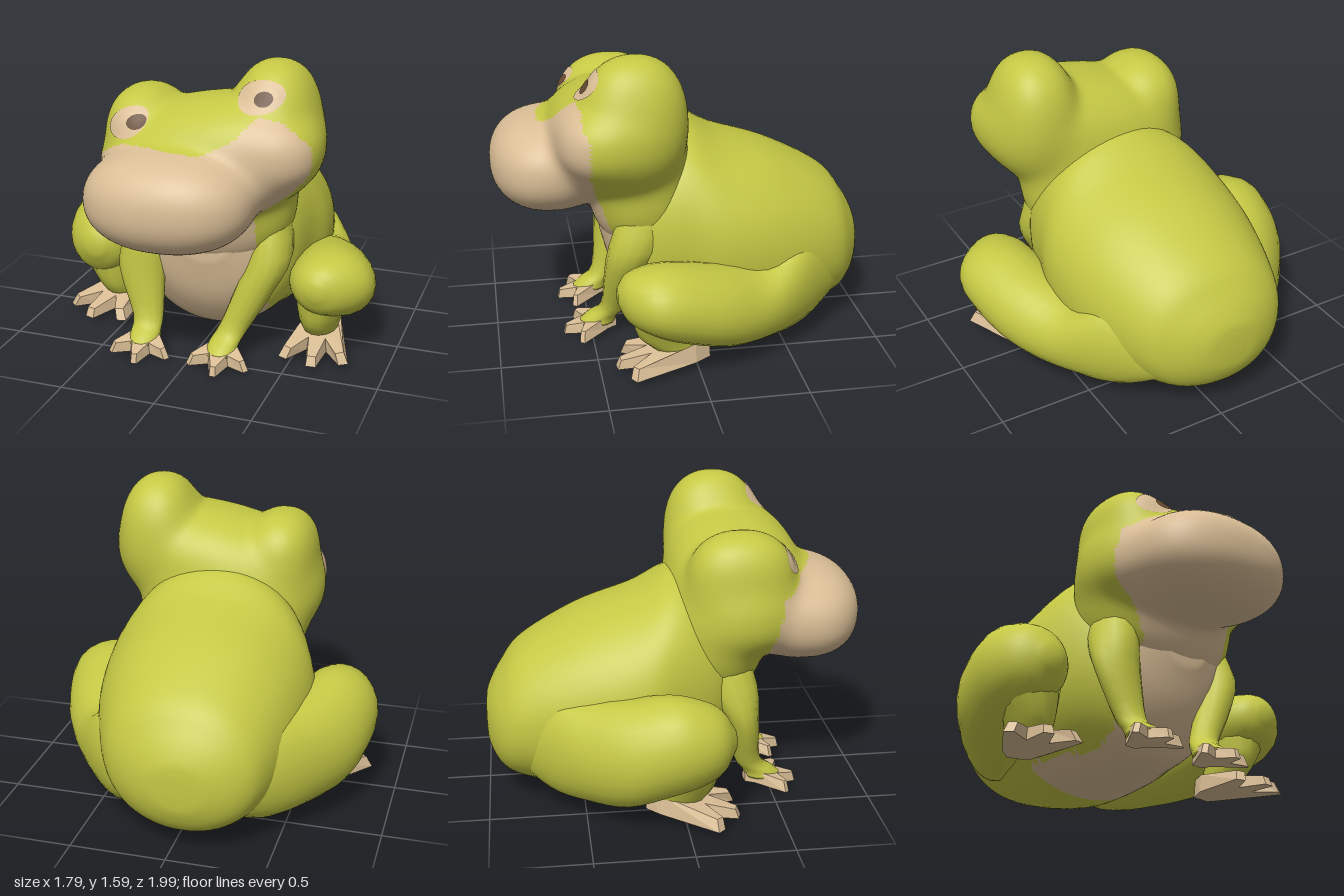
import * as THREE from 'three';
import { mergeVertices } from 'three/addons/utils/BufferGeometryUtils.js';

const mat = (name, color) => Object.assign(new THREE.MeshStandardMaterial({ color }), { name });
const green = mat('skinGreen', 0xc5c844);
const tan = mat('bellyTan', 0xdabe96);
const brown = mat('pupilBrown', 0x664b30);

function mesh(name, geo, material) {
  const m = new THREE.Mesh(geo, material);
  m.name = name;
  return m;
}

// Sorts triangles into green and tan groups by the position of their centre
function paint(geo, isTan) {
  const idx = geo.index.array, p = geo.attributes.position, sets = [[], []];
  const c = new THREE.Vector3(), v = new THREE.Vector3();
  for (let i = 0; i < idx.length; i += 3) {
    c.set(0, 0, 0);
    for (let k = 0; k < 3; k++) c.add(v.fromBufferAttribute(p, idx[i + k]));
    c.divideScalar(3);
    sets[isTan(c) ? 1 : 0].push(idx[i], idx[i + 1], idx[i + 2]);
  }
  geo.setIndex([...sets[0], ...sets[1]]);
  geo.addGroup(0, sets[0].length, 0);
  geo.addGroup(sets[0].length, sets[1].length, 1);
  return geo;
}

// Elliptical rings [x, y, z, ra, rb], smoothed between; upright rings lie in xz, others in xy
function loft(rings, { upright = false, sides = 16, sub = 3, power = 1 } = {}) {
  const curve = (f) => new THREE.CatmullRomCurve3(rings.map(f), false, 'catmullrom');
  const mid = curve((r) => new THREE.Vector3(r[0], r[1], r[2]));
  const rad = curve((r) => new THREE.Vector3(r[3], r[4], 0));
  const pos = [], idx = [], steps = (rings.length - 1) * sub;
  const pw = (a) => Math.sign(a) * Math.abs(a) ** power;
  for (let i = 0; i <= steps; i++) {
    const c = mid.getPoint(i / steps), r = rad.getPoint(i / steps);
    for (let j = 0; j < sides; j++) {
      const a = (j / sides) * Math.PI * 2;
      const u = pw(Math.cos(a)) * r.x, w = pw(Math.sin(a)) * r.y;
      if (upright) pos.push(c.x + u, c.y, c.z - w);
      else pos.push(c.x + u, c.y + w, c.z);
    }
  }
  const last = steps * sides, c0 = last + sides, c1 = c0 + 1;
  pos.push(...mid.getPoint(0).toArray(), ...mid.getPoint(1).toArray());
  for (let j = 0; j < sides; j++) {
    const n = (j + 1) % sides;
    for (let i = 0; i < steps; i++) {
      const a = i * sides, b = a + sides;
      idx.push(a + j, a + n, b + j, a + n, b + n, b + j);
    }
    idx.push(c0, n, j, c1, last + j, last + n);
  }
  const geo = new THREE.BufferGeometry();
  geo.setAttribute('position', new THREE.Float32BufferAttribute(pos, 3));
  geo.setIndex(idx);
  geo.computeVertexNormals();
  return geo;
}

// Head masses: centre, radii, sideways tilt
const masses = [
  [0.07, 1.1, 0.35, 0.58, 0.32, 0.365, 0.16], // skull
  [0.39, 1.285, 0.28, 0.215, 0.315, 0.26, 0], // left brow
  [-0.28, 1.2, 0.33, 0.19, 0.235, 0.265, 0], // right brow
  [-0.03, 0.96, 0.68, 0.43, 0.255, 0.315, 0.02], // muzzle
  [0.41, 1.18, 0.45, 0.23, 0.17, 0.2, 0], // left cheek
  [0.02, 0.86, 0.22, 0.46, 0.38, 0.28, 0], // neck
];
const inside = (p) => masses.reduce((sum, [x, y, z, rx, ry, rz, tilt]) => {
  const dx = p.x - x, dy = p.y - y - tilt * dx;
  const d = [dx / rx, dy / ry, (p.z - z) / rz].reduce((s, a) => s + Math.abs(a) ** 2.25, 0);
  return sum + Math.exp(-12 * (d ** (1 / 2.25) - 1));
}, 0) >= 1;

// Outermost point of the head skin along a ray
function skinPoint(origin, dir, far) {
  const at = (t) => origin.clone().addScaledVector(dir, t);
  let t = far;
  while (t > 0 && !inside(at(t))) t -= 0.01;
  let lo = t, hi = t + 0.01;
  for (let i = 0; i < 8; i++) {
    const m = (lo + hi) / 2;
    if (inside(at(m))) lo = m; else hi = m;
  }
  return at(lo);
}

// Upper edge of the tan face, as height over x
const lip = [[-0.6, 1.06], [-0.42, 1.13], [-0.3, 1.2], [-0.1, 1.22], [0.15, 1.21],
  [0.28, 1.27], [0.38, 1.38], [0.5, 1.36], [0.6, 1.28], [0.7, 1.18]];
function lipHeight(x) {
  for (let i = 1; i < lip.length; i++) {
    const [x0, y0] = lip[i - 1], [x1, y1] = lip[i];
    if (x <= x1) return y0 + (y1 - y0) * (x - x0) / (x1 - x0);
  }
  return 1.18;
}

function headGeometry() {
  let geo = new THREE.SphereGeometry(1, 128, 88);
  geo.deleteAttribute('uv');
  geo.deleteAttribute('normal');
  geo = mergeVertices(geo, 1e-5);
  const p = geo.attributes.position, centre = new THREE.Vector3(0.05, 1.08, 0.42);
  for (let i = 0; i < p.count; i++) {
    const dir = new THREE.Vector3().fromBufferAttribute(p, i).normalize();
    p.setXYZ(i, ...skinPoint(centre, dir, 1.2).toArray());
  }
  geo.computeVertexNormals();
  const throat = (c) => c.y < 0.9 && c.x > -0.22 && c.x < 0.33;
  return paint(geo, (c) => c.y < lipHeight(c.x)
    && c.z > (throat(c) ? 0.3 : 0.52 - 0.25 * Math.max(0, 1.05 - c.y)));
}

// Thin oval patch laid on the front of the head
function eyePatch(x, y, rx, ry, turn, lift) {
  const geo = new THREE.RingGeometry(0.001, 1, 20, 5);
  geo.scale(rx, ry, 1).rotateZ(turn).translate(x, y, 0);
  const p = geo.attributes.position, dir = new THREE.Vector3(0, 0, 1);
  for (let i = 0; i < p.count; i++) {
    const s = skinPoint(new THREE.Vector3(p.getX(i), p.getY(i), 0.2), dir, 1);
    p.setZ(i, s.z + lift);
  }
  geo.computeVertexNormals();
  return geo;
}

// Webbed foot: toe tips and web notches in a fan, sloping down from the heel
function foot(name, [x, y, z], yaw, length, spread, height) {
  const pts = [], add = (a, r) => pts.push(new THREE.Vector2(Math.sin(a) * r, Math.cos(a) * r));
  for (let k = 0; k < 5; k++) {
    const a = -spread + (spread * k) / 2;
    if (k % 2) add(a, length * 0.6);
    else [-0.07, 0.07].forEach((d) => add(a + d, length * (k === 2 ? 1 : 0.95)));
  }
  [1.6, 2.6, -2.6, -1.6].forEach((a) => add(a, length * 0.27));
  const geo = new THREE.ExtrudeGeometry(new THREE.Shape(pts), { depth: 1, bevelEnabled: false });
  geo.rotateX(Math.PI / 2);
  const p = geo.attributes.position;
  for (let i = 0; i < p.count; i++) {
    const r = Math.min(1, Math.max(0, p.getZ(i)) / length);
    if (p.getY(i) > -0.5) p.setXYZ(i, p.getX(i) * 0.85, height - (height - 0.06) * r, p.getZ(i) * 0.95);
    else p.setY(i, 0.04 - 0.03 * r);
  }
  geo.computeVertexNormals();
  const m = mesh(name, geo, tan);
  m.position.set(x, y, z);
  m.rotation.y = yaw;
  return m;
}

export function createModel() {
  const frog = new THREE.Group();
  frog.name = 'frog';

  // Torso: z, centre x, half width, bottom, top
  const torso = [[-1, -0.06, 0.05, 0.36, 0.48], [-0.985, -0.06, 0.17, 0.26, 0.56],
    [-0.92, -0.06, 0.31, 0.15, 0.68], [-0.8, -0.04, 0.42, 0.08, 0.82], [-0.5, -0.02, 0.53, 0.01, 0.98],
    [-0.2, -0.01, 0.57, 0.03, 1.08], [0, 0, 0.52, 0.05, 1.18], [0.18, 0.02, 0.46, 0.09, 1.14],
    [0.29, 0.03, 0.38, 0.2, 1.08], [0.37, 0.04, 0.3, 0.34, 1.02], [0.43, 0.05, 0.16, 0.55, 0.92]]
    .map(([z, x, w, lo, hi]) => [x, (lo + hi) / 2, z, w, (hi - lo) / 2]);
  const torsoGeo = paint(loft(torso, { sides: 64, sub: 6, power: 0.95 }), (c) =>
    (c.z > 0.05 && c.x > -0.24 && c.x < 0.33 && c.y < 0.9)
    || (c.z > -0.35 && c.y < 0.12 && Math.abs(c.x) < 0.36));
  frog.add(mesh('torso', torsoGeo, [green, tan]));

  // Head and eyes
  frog.add(mesh('head', headGeometry(), [green, tan]));
  frog.add(mesh('leftEye', eyePatch(0.375, 1.462, 0.12, 0.074, 0.1, 0.006), tan));
  frog.add(mesh('leftPupil', eyePatch(0.395, 1.457, 0.047, 0.034, 0.1, 0.012), brown));
  frog.add(mesh('rightEye', eyePatch(-0.285, 1.295, 0.11, 0.07, 0.4, 0.006), tan));
  frog.add(mesh('rightPupil', eyePatch(-0.235, 1.305, 0.052, 0.034, 0.2, 0.012), brown));

  // Thighs, running forward from broad hips
  const thigh = { sides: 24, sub: 4 };
  frog.add(mesh('leftThigh', loft([[0.24, 0.34, -0.86, 0.05, 0.1], [0.35, 0.34, -0.62, 0.17, 0.25],
    [0.47, 0.28, -0.38, 0.22, 0.2], [0.59, 0.32, -0.15, 0.23, 0.21], [0.66, 0.39, 0.1, 0.23, 0.2],
    [0.67, 0.42, 0.25, 0.21, 0.17], [0.65, 0.43, 0.36, 0.13, 0.12], [0.64, 0.44, 0.41, 0.04, 0.04]],
  thigh), green));
  frog.add(mesh('rightThigh', loft([[-0.26, 0.36, -0.88, 0.05, 0.1], [-0.37, 0.37, -0.68, 0.18, 0.25],
    [-0.48, 0.37, -0.5, 0.23, 0.27], [-0.59, 0.39, -0.3, 0.25, 0.28], [-0.66, 0.45, -0.08, 0.23, 0.26],
    [-0.67, 0.46, 0.07, 0.2, 0.22], [-0.66, 0.46, 0.18, 0.15, 0.16], [-0.65, 0.46, 0.25, 0.05, 0.05]],
  thigh), green));

  // Shins and arms, rising from the feet
  const up = { upright: true, sides: 14 };
  frog.add(mesh('leftShin', loft([[0.6, 0.11, 0.1, 0.09, 0.12], [0.61, 0.2, 0.15, 0.11, 0.16],
    [0.64, 0.36, 0.17, 0.16, 0.18]], up), green));
  frog.add(mesh('rightShin', loft([[-0.59, 0.11, -0.03, 0.09, 0.12], [-0.61, 0.2, 0, 0.12, 0.15],
    [-0.65, 0.38, 0.02, 0.18, 0.17]], up), green));
  frog.add(mesh('leftArm', loft([[0.165, 0.07, 0.47, 0.085, 0.1], [0.17, 0.11, 0.44, 0.08, 0.085],
    [0.205, 0.18, 0.38, 0.08, 0.07], [0.3, 0.38, 0.35, 0.1, 0.09], [0.37, 0.58, 0.28, 0.115, 0.14],
    [0.35, 0.86, 0.18, 0.08, 0.14]], up), green));
  frog.add(mesh('rightArm', loft([[-0.27, 0.07, 0.47, 0.085, 0.1], [-0.27, 0.11, 0.44, 0.08, 0.085],
    [-0.28, 0.18, 0.38, 0.085, 0.07], [-0.325, 0.42, 0.34, 0.13, 0.09], [-0.31, 0.62, 0.28, 0.125, 0.14],
    [-0.28, 0.86, 0.2, 0.08, 0.14]], up), green));

  // Feet
  frog.add(foot('leftFrontFoot', [0.165, 0, 0.42], 0.05, 0.23, 0.8, 0.11));
  frog.add(foot('rightFrontFoot', [-0.27, 0, 0.42], 0.05, 0.23, 0.8, 0.11));
  frog.add(foot('leftHindFoot', [0.6, 0.02, 0.03], 0.08, 0.39, 0.45, 0.14));
  frog.add(foot('rightHindFoot', [-0.57, 0.03, -0.1], -0.3, 0.39, 0.5, 0.14));
  return frog;
}
